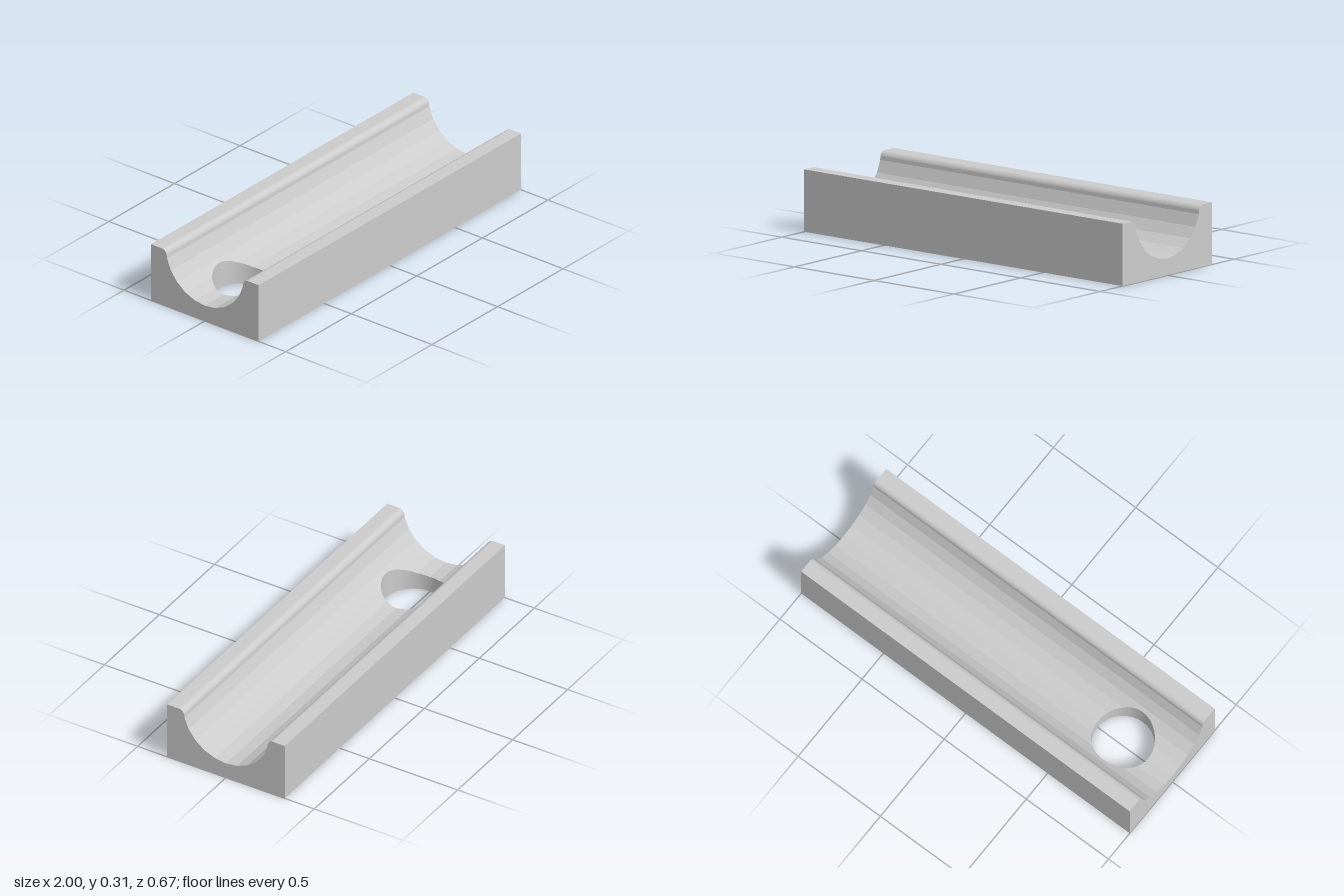
import * as THREE from 'three';
import { mergeGeometries } from 'three/addons/utils/BufferGeometryUtils.js';

const HALF_X = 1, HALF_Z = 0.333, TOP = 0.306;
const HOLE_X = -0.7, HOLE_R = 0.154;
const V = (x, y) => new THREE.Vector2(x, y);

// Half of the cross-section, from the trough floor out to the edge: (z, height)
function halfProfile() {
  const points = [];
  for (let i = 0; i <= 5; i++) {
    const a = (i * Math.PI) / 12;
    points.push(V(0.243 * Math.sin(a), 0.326 - 0.243 * Math.cos(a)));
  }
  // Rounded lip
  for (let i = 0; i <= 8; i++) {
    const a = Math.PI - (i * Math.PI) / 16;
    points.push(V(0.267 + 0.031 * Math.cos(a), TOP - 0.031 + 0.031 * Math.sin(a)));
  }
  points.push(V(HALF_Z, TOP));
  return points;
}

export function createModel() {
  const group = new THREE.Group();
  const material = new THREE.MeshStandardMaterial({ color: 0xcccccc });
  const add = (name, geometry) => {
    const mesh = new THREE.Mesh(geometry, material);
    mesh.name = name;
    group.add(mesh);
  };

  const half = halfProfile();
  const profile = [...half.slice(1).reverse().map((p) => V(-p.x, p.y)), ...half];
  const heightAt = (z) => {
    const i = Math.max(1, profile.findIndex((p) => p.x >= z - 1e-9));
    const a = profile[i - 1], b = profile[i];
    return a.y + ((b.y - a.y) * (z - a.x)) / (b.x - a.x);
  };

  // Strip boundaries, including the front and back of the hole
  const cuts = [...profile.map((p) => p.x), -HOLE_R, HOLE_R].sort((a, b) => a - b);
  const rightArc = []; // right half of the hole rim, as offsets from its centre
  const strips = [];
  const addStrip = (outline) => {
    const g = new THREE.ShapeGeometry(new THREE.Shape(outline));
    const pos = g.attributes.position;
    for (let i = 0; i < pos.count; i++) {
      const v = pos.getY(i);
      pos.setXYZ(i, pos.getX(i), heightAt(v), -v);
    }
    g.computeVertexNormals();
    strips.push(g);
  };
  for (let i = 0; i < cuts.length - 1; i++) {
    const v0 = cuts[i], v1 = cuts[i + 1];
    if (Math.abs((v0 + v1) / 2) > HOLE_R) {
      addStrip([V(-HALF_X, v0), V(HALF_X, v0), V(HALF_X, v1), V(-HALF_X, v1)]);
      continue;
    }
    // Strip split in two by the hole
    const a0 = Math.asin(v0 / HOLE_R), a1 = Math.asin(v1 / HOLE_R);
    const arc = [];
    for (let k = 0; k <= 6; k++) {
      const a = a0 + ((a1 - a0) * k) / 6;
      arc.push(V(HOLE_R * Math.cos(a), HOLE_R * Math.sin(a)));
    }
    addStrip([V(-HALF_X, v0), ...arc.map((p) => V(HOLE_X - p.x, p.y)), V(-HALF_X, v1)]);
    addStrip([V(HALF_X, v1), ...arc.map((p) => V(HOLE_X + p.x, p.y)).reverse(), V(HALF_X, v0)]);
    rightArc.push(...arc.slice(rightArc.length ? 1 : 0));
  }
  add('troughSurface', mergeGeometries(strips));

  // Round drain hole wall, its top edge following the trough
  const ring = [
    ...rightArc.map((p) => V(HOLE_X + p.x, p.y)),
    ...rightArc.slice(1, -1).reverse().map((p) => V(HOLE_X - p.x, p.y)),
  ];
  const positions = [], index = [];
  ring.forEach((p, i) => {
    positions.push(p.x, 0, -p.y, p.x, heightAt(p.y), -p.y);
    const b = 2 * i, n = 2 * ((i + 1) % ring.length);
    index.push(b, b + 1, n, n, b + 1, n + 1);
  });
  const wall = new THREE.BufferGeometry();
  wall.setAttribute('position', new THREE.Float32BufferAttribute(positions, 3));
  wall.setIndex(index);
  wall.computeVertexNormals();
  add('holeWall', wall);

  // Underside with the hole
  const base = new THREE.Shape([
    V(-HALF_X, -HALF_Z), V(HALF_X, -HALF_Z), V(HALF_X, HALF_Z), V(-HALF_X, HALF_Z),
  ]);
  base.holes.push(new THREE.Path(ring));
  add('underside', new THREE.ShapeGeometry(base).rotateX(Math.PI / 2));

  // End faces and long sides
  const section = new THREE.Shape([V(-HALF_Z, 0), V(HALF_Z, 0), ...[...profile].reverse()]);
  for (const s of [1, -1]) {
    add(s > 0 ? 'leftEnd' : 'rightEnd',
      new THREE.ShapeGeometry(section).rotateY((s * Math.PI) / 2).translate(s * HALF_X, 0, 0));
    add(s > 0 ? 'frontSide' : 'backSide',
      new THREE.PlaneGeometry(2 * HALF_X, TOP).translate(0, TOP / 2, HALF_Z).rotateY(s > 0 ? 0 : Math.PI));
  }
  return group;
}
